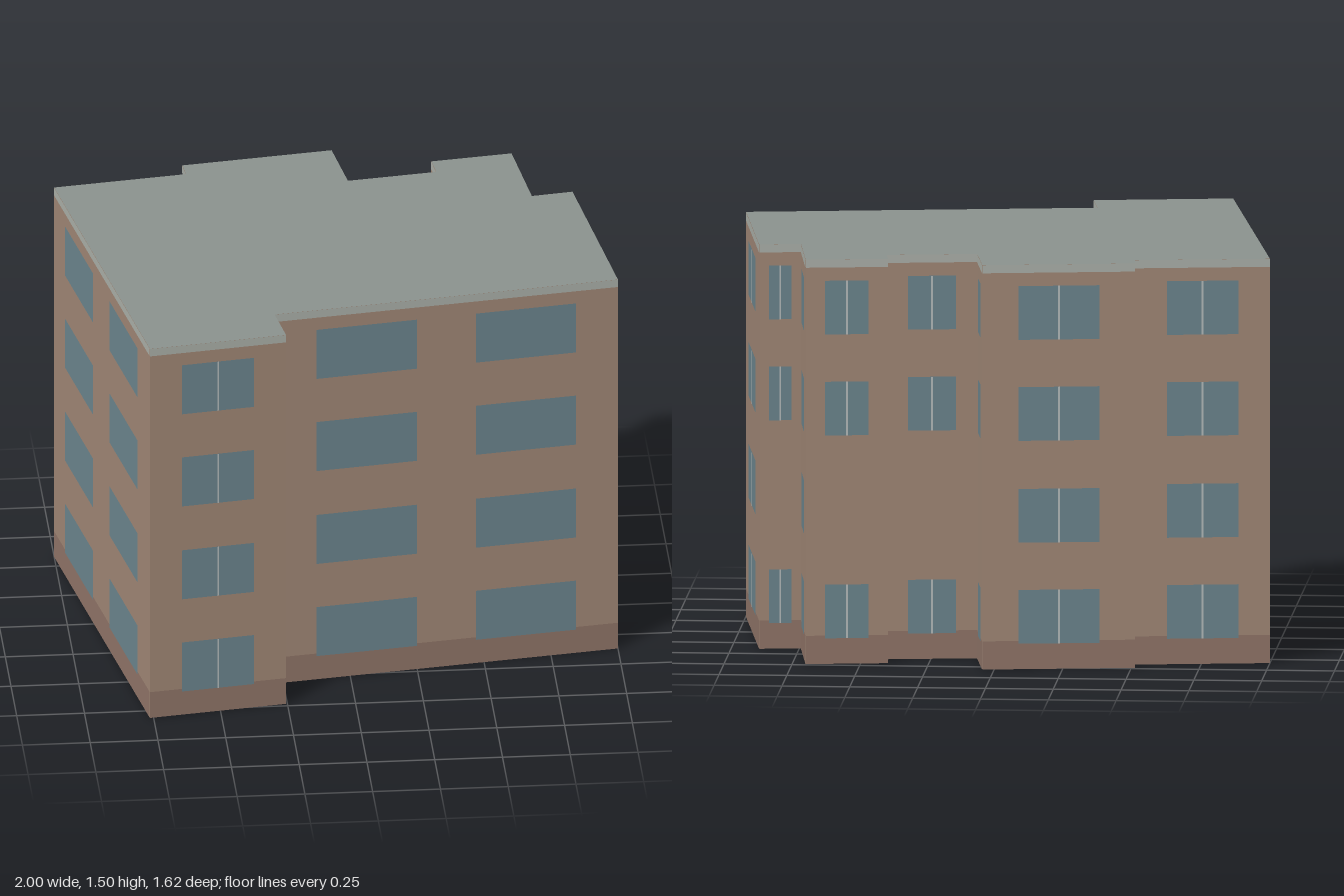
import * as THREE from 'three';

const HEIGHT = 1.505;
const ROWS = [0.195, 0.571, 0.95, 1.326]; // window centre heights
const WINDOW_H = 0.2;

// Footprint corners: x, z, and the windows on the wall leading to the next corner.
// pair = one window with a mullion, stair = the same without the second row,
// wide = two plain windows.
const CORNERS = [
  [-1.0, -0.583, 'pair'],
  [-0.508, -0.655, ''],
  [-0.514, -0.73, 'pair'],
  [0.043, -0.812, 'stair'],
  [0.081, -0.549, 'stair'],
  [0.411, -0.597, ''],
  [0.4, -0.687, 'stair'],
  [0.7, -0.73, 'pair'],
  [0.744, -0.364, 'stair'],
  [0.896, -0.388, 'pair'],
  [1.0, 0.367, 'wide'],
  [-0.282, 0.557, 'stair'],
  [-0.255, 0.732, 'pair'],
  [-0.763, 0.809, 'wide'],
];

const paint = (color, side = THREE.FrontSide) =>
  new THREE.MeshStandardMaterial({ color, side });

export function createModel() {
  const model = new THREE.Group();
  model.name = 'apartmentBlock';

  const mats = {
    wall: paint(0xa58b79, THREE.DoubleSide),
    base: paint(0x94786b),
    cornice: paint(0xb0b5ae),
    roof: paint(0x8d9490, THREE.DoubleSide),
    glass: paint(0x6f8992),
    mullion: paint(0xb9c0c0),
  };

  CORNERS.forEach(([x, z, kind], i) => {
    const [x2, z2] = CORNERS[(i + 1) % CORNERS.length];
    const length = Math.hypot(x2 - x, z2 - z);

    // Each facade is a group whose local +z points outwards
    const facade = new THREE.Group();
    facade.name = `facade${i + 1}`;
    facade.position.set((x + x2) / 2, 0, (z + z2) / 2);
    facade.rotation.y = Math.atan2(z2 - z, x - x2);
    model.add(facade);

    const panel = (name, mat, w, h, px, py, out) => {
      const mesh = new THREE.Mesh(new THREE.PlaneGeometry(w, h), mat);
      mesh.name = name;
      mesh.position.set(px, py, out);
      facade.add(mesh);
    };

    panel('wall', mats.wall, length, HEIGHT, 0, HEIGHT / 2, 0);
    panel('baseBand', mats.base, length, 0.105, 0, 0.0525, 0.0012);
    panel('cornice', mats.cornice, length, 0.03, 0, HEIGHT - 0.015, 0.0012);

    if (!kind) return;
    ROWS.forEach((y, row) => {
      if (kind === 'stair' && row === 1) return;
      if (kind === 'wide') {
        for (const s of [-1, 1])
          panel('window', mats.glass, length * 0.292, WINDOW_H, s * length * 0.232, y, 0.0025);
      } else {
        panel('window', mats.glass, length * 0.53, WINDOW_H, 0, y, 0.0025);
        panel('mullion', mats.mullion, 0.007, WINDOW_H, 0, y, 0.0037);
      }
    });
  });

  // Flat roof over the whole footprint
  const outline = new THREE.Shape(CORNERS.map(([x, z]) => new THREE.Vector2(x, -z)));
  const roof = new THREE.Mesh(new THREE.ShapeGeometry(outline), mats.roof);
  roof.name = 'roof';
  roof.rotation.x = -Math.PI / 2;
  roof.position.y = HEIGHT;
  model.add(roof);

  return model;
}
